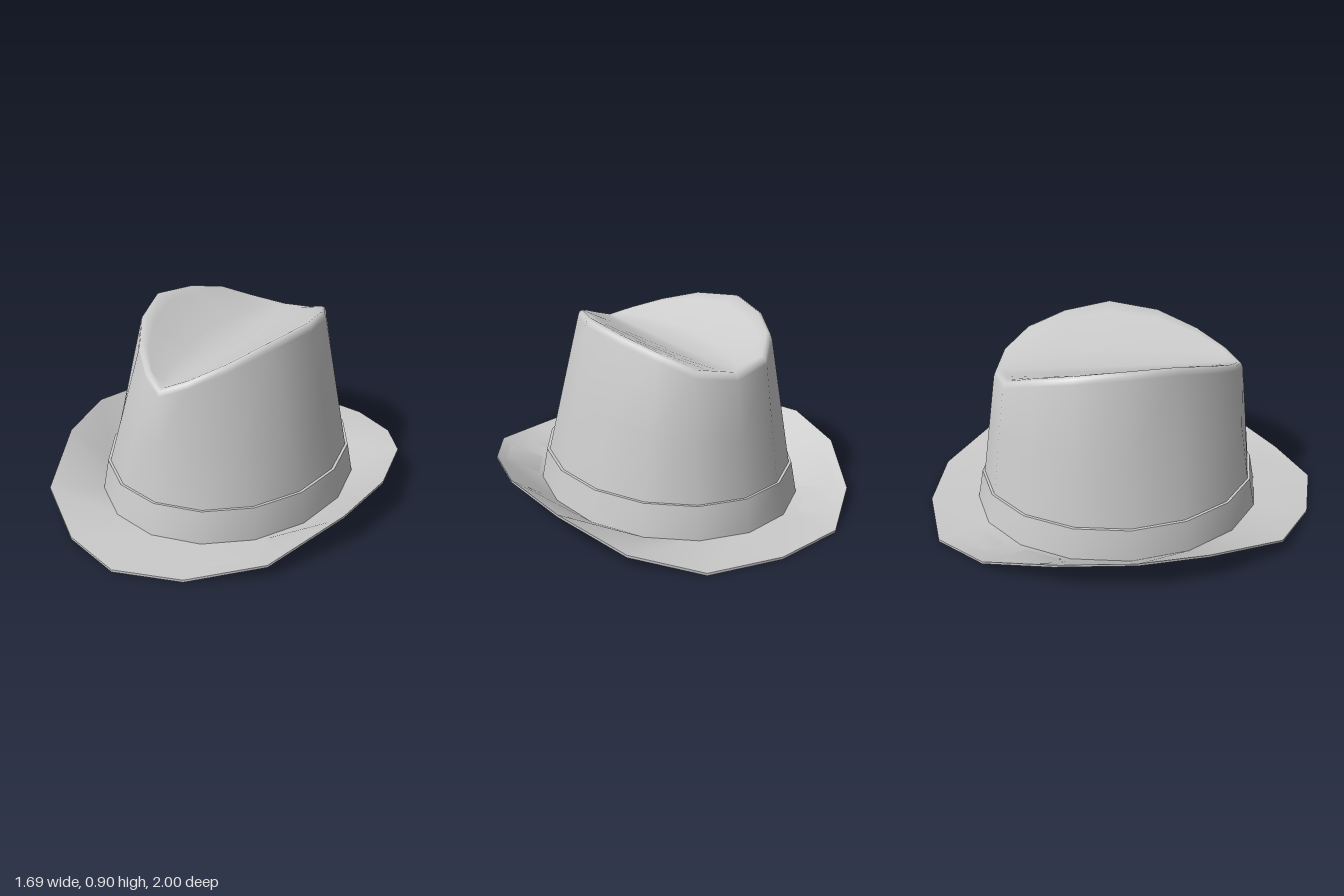
import * as THREE from 'three';
import { toCreasedNormals } from 'three/addons/utils/BufferGeometryUtils.js';

const SIDES = 16;
const CENTRE_Z = -0.03;

// Half outlines run from back to front; mirror them into closed 16-point rings
function mirrorRing(half) {
  const other = half.slice(1, -1).reverse().map(([x, y, z]) => [-x, y, z]);
  return [...half, ...other];
}

function ellipseRing(a, b, y) {
  return Array.from({ length: SIDES }, (_, i) => {
    const t = (i / SIDES) * Math.PI * 2;
    return [a * Math.sin(t), y, CENTRE_Z - b * Math.cos(t)];
  });
}

const mixRings = (p, q, t) => p.map((v, i) => v.map((c, k) => c + (q[i][k] - c) * t));

// Skin a stack of closed rings
function loft(rings, crease) {
  const index = [];
  for (let r = 0; r < rings.length - 1; r++) {
    for (let i = 0; i < SIDES; i++) {
      const j = (i + 1) % SIDES;
      const a = r * SIDES + i, b = r * SIDES + j;
      index.push(a, a + SIDES, b, b, a + SIDES, b + SIDES);
    }
  }
  const geometry = new THREE.BufferGeometry();
  geometry.setAttribute('position', new THREE.Float32BufferAttribute(rings.flat(2), 3));
  geometry.setIndex(index);
  return toCreasedNormals(geometry, crease);
}

export function createModel() {
  const hat = new THREE.Group();
  hat.name = 'hat';
  const felt = new THREE.MeshStandardMaterial({ color: 0xcccccc, side: THREE.DoubleSide });
  const add = (name, geometry) => {
    const mesh = new THREE.Mesh(geometry, felt);
    mesh.name = name;
    hat.add(mesh);
  };

  // Brim: thin sheet, flat at front and back, turned up at the sides
  const brimEdge = mirrorRing([
    [0, 0.012, -1], [0.35, 0.012, -0.94], [0.61, 0.065, -0.72], [0.78, 0.155, -0.4],
    [0.845, 0.182, -0.03], [0.79, 0.158, 0.3], [0.61, 0.07, 0.69], [0.31, 0.012, 0.9], [0, 0.012, 1],
  ]);
  const brimUnder = brimEdge.map(([x, y, z]) => [x, y - 0.012, z]);
  const hole = (y) => ellipseRing(0.615, 0.722, y);
  add('brim', loft([hole(0), brimUnder, brimEdge, hole(0.012)], 0.8));

  // Band: sloping ribbon with a narrow ledge on top
  add('band', loft([
    ellipseRing(0.62, 0.728, 0.008),
    ellipseRing(0.59, 0.697, 0.168),
    ellipseRing(0.574, 0.683, 0.168),
  ], 0.6));

  // Crown: tapered wall, rounded teardrop rim, creased top
  const rim = mirrorRing([
    [0, 0.735, -0.605], [0.18, 0.765, -0.56], [0.295, 0.83, -0.44], [0.375, 0.873, -0.26],
    [0.41, 0.9, -0.03], [0.335, 0.872, 0.21], [0.225, 0.812, 0.39], [0.105, 0.755, 0.51], [0, 0.715, 0.57],
  ]);
  const shoulder = rim.map(([x, y, z]) => [x * 1.045, y - 0.008, z * 1.03]);
  const wallTop = rim.map(([x, y, z]) => [x * 1.065, y - 0.032, z * 1.045]);
  const wallBase = ellipseRing(0.576, 0.685, 0.168);

  // The top sinks from the rim to a lengthwise valley on the centre line
  const valleyY = (z) => THREE.MathUtils.mapLinear(z, -0.605, 0.57, 0.735, 0.715);
  const top = [0.85, 0.6, 0.3, 0].map((t) => rim.map(([x, y, z]) => {
    const floor = valleyY(z);
    return [x * t, floor + (y - floor) * Math.pow(t, 1.25), z];
  }));
  add('crown', loft([
    ellipseRing(0.6, 0.708, 0.02), wallBase,
    mixRings(wallBase, wallTop, 0.5), wallTop, shoulder, rim, ...top,
  ], 1.1));

  return hat;
}
